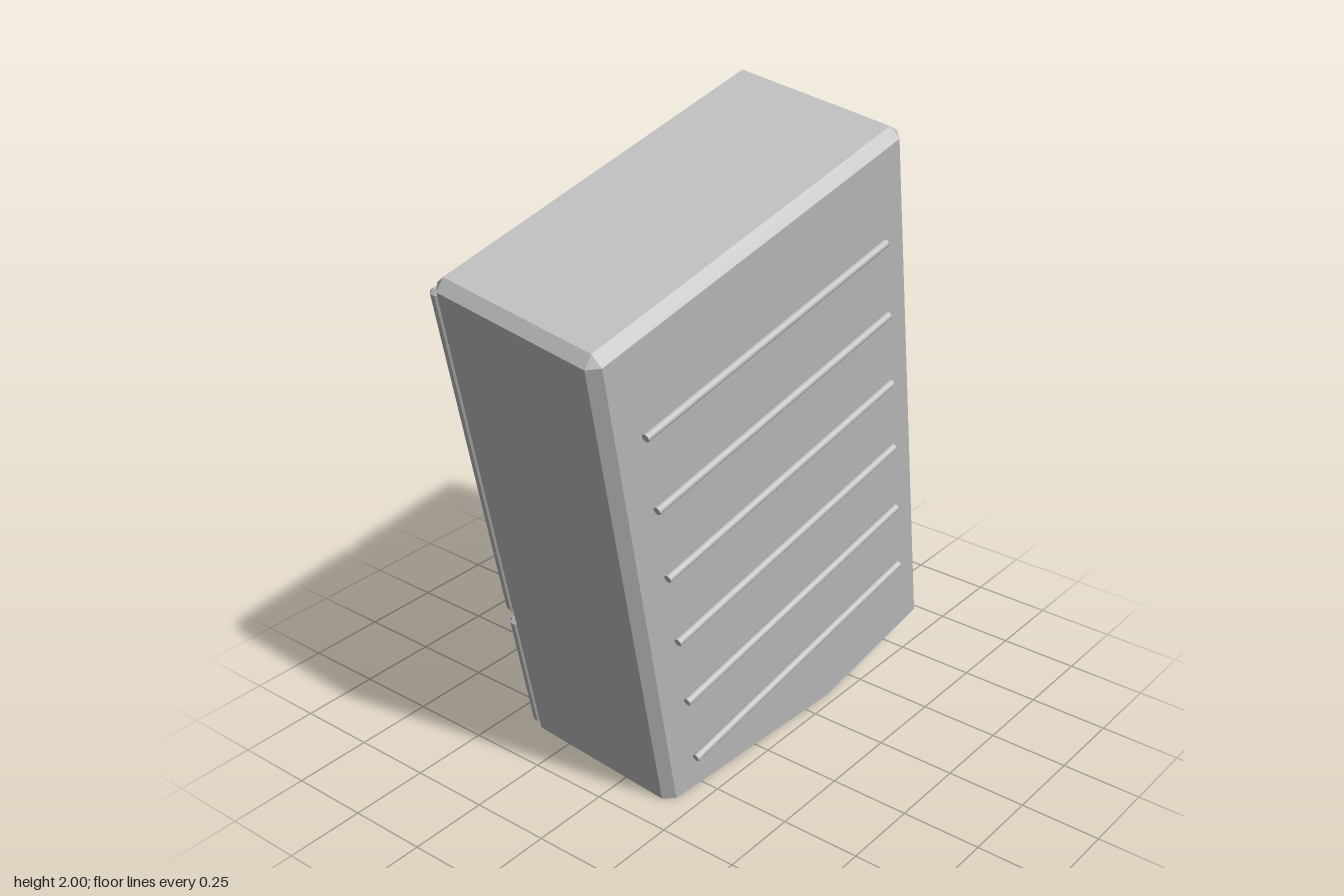
import * as THREE from 'three';
import { ConvexGeometry } from 'three/addons/geometries/ConvexGeometry.js';

// Tilted axes of the fridge: U across, V up, W towards the coil side
const V = new THREE.Vector3(-0.274, 0.957, 0.098).normalize();
const W = new THREE.Vector3(-0.0467, -0.115, 0.992);
const U = new THREE.Vector3().crossVectors(V, W).normalize();
W.crossVectors(U, V).normalize();
const MID = 0.247; // centre line across the width

const grey = new THREE.MeshStandardMaterial({ color: 0xbfbfbf });
grey.name = 'grey';

const height = (p) => p.x * U.y + p.y * V.y + p.z * W.y;

// Box with chamfered edges, cut off flat at ground level
function chamferBox(min, max, c) {
  const corners = [];
  for (let s = 0; s < 8; s++) {
    for (let k = 0; k < 3; k++) {
      const q = [0, 1, 2].map((i) => {
        const inset = i === k ? 0 : c;
        return s & (1 << i) ? max[i] - inset : min[i] + inset;
      });
      corners.push({ s, k, p: new THREE.Vector3(...q) });
    }
  }
  const points = corners.filter((a) => height(a.p) >= 0).map((a) => a.p);
  for (const a of corners) {
    for (const b of corners) {
      const ha = height(a.p), hb = height(b.p);
      if (ha < 0 || hb >= 0) continue;
      const d = a.s ^ b.s;
      const faceEdge = a.k === b.k && [1, 2, 4].includes(d) && d !== 1 << a.k;
      if (faceEdge || d === 0) points.push(a.p.clone().lerp(b.p, ha / (ha - hb)));
    }
  }
  return new ConvexGeometry(points);
}

export function createModel() {
  const model = new THREE.Group();
  model.name = 'refrigerator';
  const tilted = new THREE.Group();
  tilted.name = 'tiltedRefrigerator';
  tilted.quaternion.setFromRotationMatrix(new THREE.Matrix4().makeBasis(U, V, W));
  model.add(tilted);

  const add = (name, geometry) => {
    const mesh = new THREE.Mesh(geometry, grey);
    mesh.name = name;
    tilted.add(mesh);
    return mesh;
  };
  const rod = (name, radius, length, x, y, z, across) => {
    const mesh = add(name, new THREE.CylinderGeometry(radius, radius, length, 16));
    mesh.position.set(x, y, z);
    if (across) mesh.rotation.z = Math.PI / 2;
  };

  // Cabinet
  add('cabinet', chamferBox([MID - 0.61, -0.108, -0.387], [MID + 0.61, 1.82, 0.198], 0.03));

  // Two doors above a full-width drawer
  const back = -0.38, face = -0.42;
  add('leftDoor', chamferBox([MID + 0.024, 0.555, face], [MID + 0.595, 1.765, back], 0.012));
  add('rightDoor', chamferBox([MID - 0.595, 0.555, face], [MID - 0.024, 1.765, back], 0.012));
  add('drawer', chamferBox([MID - 0.595, -0.06, face], [MID + 0.595, 0.515, back], 0.012));

  // Handles
  for (const side of [-1, 1]) {
    rod(side > 0 ? 'leftHandle' : 'rightHandle', 0.015, 0.51, MID + side * 0.07, 1.1, -0.443, false);
  }
  rod('drawerHandle', 0.015, 0.74, MID, 0.41, -0.443, true);

  // Dispenser panel with its control strip
  add('dispenserPanel', chamferBox([-0.165, 0.85, -0.43], [0.072, 1.16, -0.41], 0.006));
  add('dispenserControls', chamferBox([-0.13, 1.08, -0.438], [0.037, 1.12, -0.425], 0.003));

  // Condenser coils
  for (let i = 0; i < 6; i++) {
    rod('coil' + (i + 1), 0.012, 0.98, MID, 1.504 - i * 0.256, 0.21, true);
  }
  return model;
}
